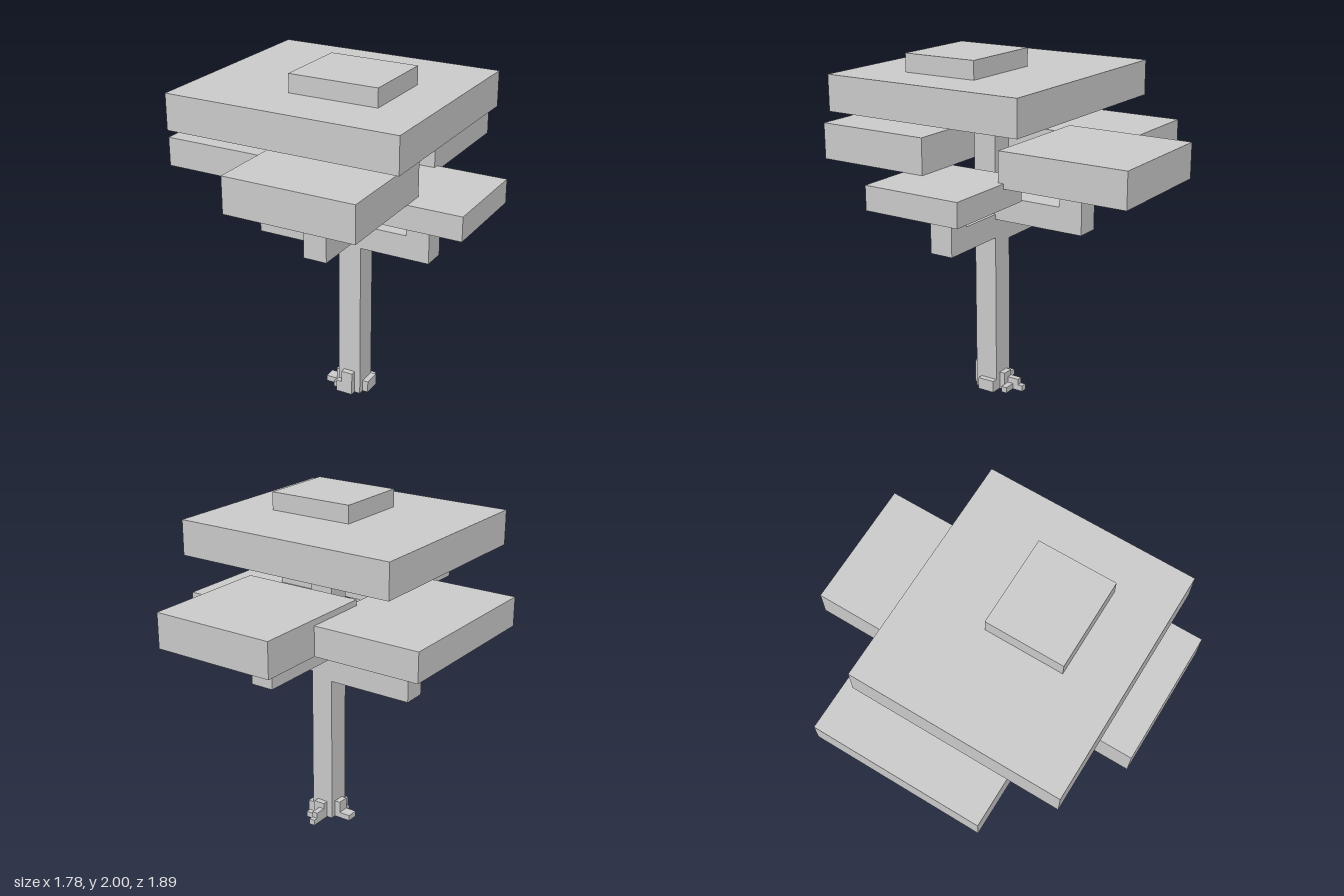
import * as THREE from 'three';

export function createModel() {
  const tree = new THREE.Group();
  tree.name = 'tree';
  const material = new THREE.MeshStandardMaterial({ color: 0xcccccc, flatShading: true });

  // Box given by its [min, max] extents on each axis
  const block = (parent, name, [x0, x1], [y0, y1], [z0, z1]) => {
    const mesh = new THREE.Mesh(new THREE.BoxGeometry(x1 - x0, y1 - y0, z1 - z0), material);
    mesh.position.set((x0 + x1) / 2, (y0 + y1) / 2, (z0 + z1) / 2);
    mesh.name = name;
    parent.add(mesh);
  };
  const group = (name) => {
    const g = new THREE.Group();
    g.name = name;
    tree.add(g);
    return g;
  };

  // Trunk
  const TX = [0.05, 0.19], TZ = [0.035, 0.175], W = 0.14;
  block(tree, 'trunk', TX, [0, 1.69], TZ);

  // Elbow branches: a horizontal arm out of the trunk, then an upright to the foliage
  const branch = (name, axis, from, tip, y, top) => {
    const g = group(name);
    const dir = Math.sign(tip - from);
    const span = (a, b) => [Math.min(a, b), Math.max(a, b)];
    const add = (part, s, h) => axis === 'x' ? block(g, part, s, h, TZ) : block(g, part, TX, h, s);
    add('arm', span(from, tip), [y, y + W]);
    add('upright', span(tip - dir * W, tip), [y + W, top]);
  };
  branch('rightBranch', 'x', 0.05, -0.475, 0.915, 1.34);
  branch('leftBranch', 'x', 0.19, 0.61, 0.95, 1.23);
  branch('frontBranch', 'z', 0.175, 0.56, 1.02, 1.37);
  branch('backBranch', 'z', 0.035, -0.525, 1.06, 1.34);

  // Foliage slabs
  const foliage = group('foliage');
  block(foliage, 'topFoliage', [-0.65, 0.715], [1.69, 1.895], [-0.455, 0.77]);
  block(foliage, 'crownCap', [-0.09, 0.435], [1.895, 2], [0, 0.455]);
  block(foliage, 'frontFoliage', [-0.195, 0.575], [1.37, 1.58], [0.25, 0.945]);
  block(foliage, 'backFoliage', [-0.265, 0.47], [1.34, 1.545], [-0.945, -0.175]);
  block(foliage, 'rightFoliage', [-0.895, -0.23], [1.34, 1.51], [-0.56, 0.45]);
  block(foliage, 'leftFoliage', [0.295, 0.89], [1.23, 1.37], [-0.21, 0.385]);

  // Small stepped roots around the trunk foot
  const roots = group('roots');
  block(roots, 'frontRoot', [0.085, 0.155], [0, 0.14], [0.175, 0.21]);
  block(roots, 'frontRootStep', [0.05, 0.085], [0, 0.07], [0.175, 0.21]);
  block(roots, 'leftRoot', [0.19, 0.225], [0, 0.07], [0.035, 0.14]);
  block(roots, 'rightRoot', [0.015, 0.05], [0, 0.105], [0.07, 0.14]);
  block(roots, 'rightRootToe', [-0.055, 0.015], [0, 0.035], [0.07, 0.14]);
  block(roots, 'rightRootStep', [0.015, 0.05], [0, 0.035], [0.14, 0.175]);
  block(roots, 'backRoot', [0.085, 0.155], [0, 0.105], [0, 0.035]);
  block(roots, 'backRootStep', [0.085, 0.12], [0, 0.07], [-0.07, 0]);
  block(roots, 'backRootToe', [0.085, 0.12], [0, 0.035], [-0.1, -0.07]);
  block(roots, 'backRootSide', [0.12, 0.19], [0, 0.035], [-0.035, 0]);
  return tree;
}
